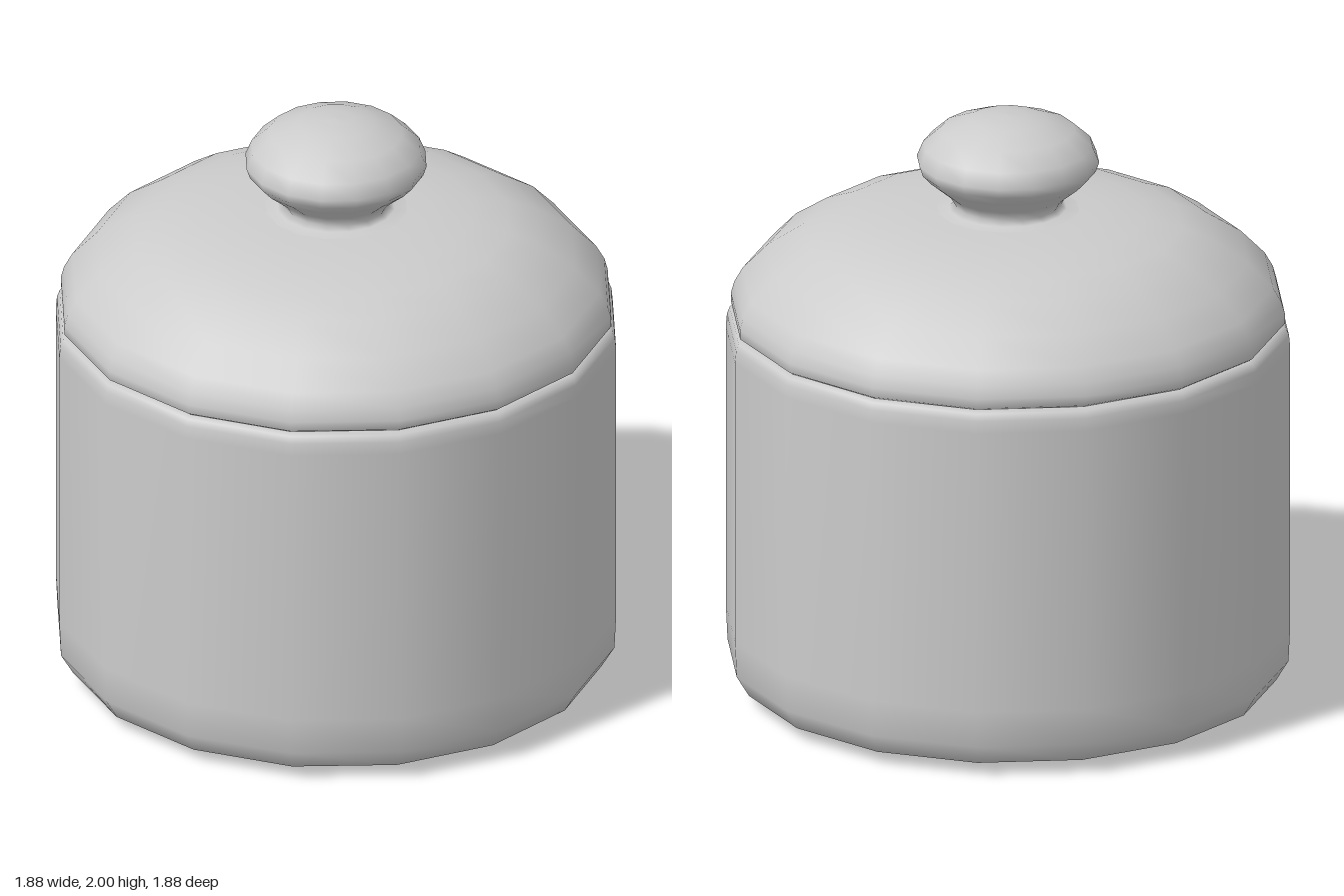
import * as THREE from 'three';

const SIDES = 16;
const material = new THREE.MeshStandardMaterial({ color: 0xcccccc, side: THREE.DoubleSide });

// Revolve a [radius, height] profile, listed from bottom to top
function turned(name, profile) {
  const points = profile.map(([r, y]) => new THREE.Vector2(r, y));
  const mesh = new THREE.Mesh(new THREE.LatheGeometry(points, SIDES), material);
  mesh.name = name;
  return mesh;
}

export function createModel() {
  const jar = new THREE.Group();
  jar.name = 'liddedJar';

  // Straight-sided pot with a rounded foot and a rolled rim
  jar.add(turned('pot', [
    [0, 0], [0.3, 0.005], [0.7, 0.01], [0.81, 0.018], [0.89, 0.045], [0.932, 0.115],
    [0.938, 0.24], [0.938, 1.22], [0.934, 1.262], [0.925, 1.285], [0.905, 1.292], [0.85, 1.292],
  ]));

  const lid = new THREE.Group();
  lid.name = 'lid';

  // Domed cover with a soft lip resting on the rim
  lid.add(turned('dome', [
    [0.85, 1.292], [0.905, 1.293], [0.92, 1.303], [0.921, 1.335], [0.91, 1.375], [0.882, 1.425],
    [0.8, 1.51], [0.68, 1.588], [0.58, 1.626], [0.46, 1.653], [0.32, 1.668], [0.2, 1.673], [0.16, 1.674],
  ]));

  // Flattened round knob on a flared neck
  lid.add(turned('knob', [
    [0.25, 1.67], [0.195, 1.676], [0.175, 1.69], [0.195, 1.725], [0.262, 1.78], [0.292, 1.812],
    [0.303, 1.845], [0.282, 1.896], [0.222, 1.95], [0.127, 1.987], [0.06, 1.997], [0, 2],
  ]));

  jar.add(lid);
  return jar;
}
